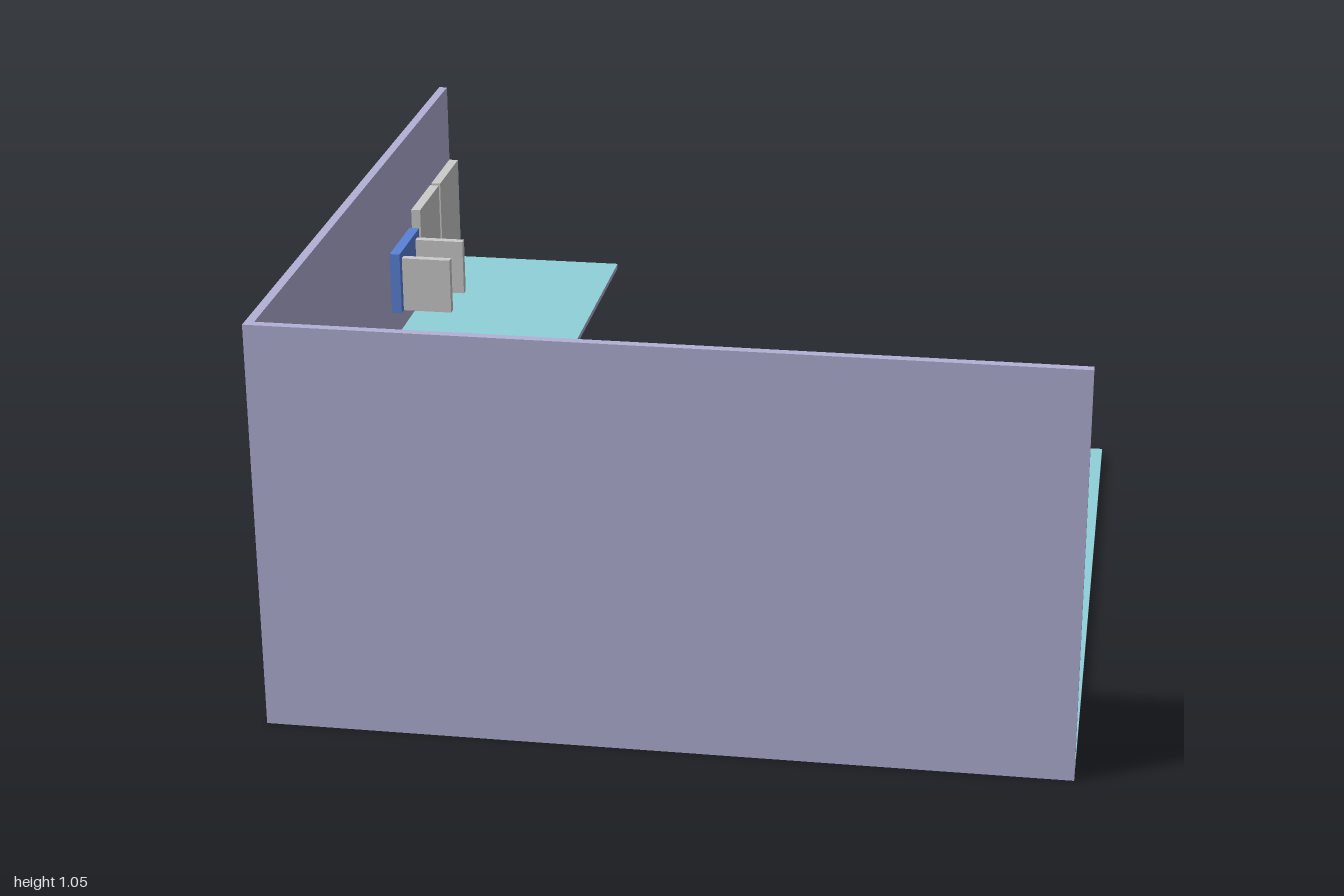
import * as THREE from 'three';

const paint = (color) => new THREE.MeshStandardMaterial({ color });
const lilac = paint(0xb2b1d6), teal = paint(0x90d0d9), grey = paint(0xcccccc);
const blue = paint(0x5b82d8), yellow = paint(0xd2e010), purple = paint(0x7d6cc8);

// Box given by its [min, max] extents on each axis
function slab(name, [x0, x1], [y0, y1], [z0, z1], material) {
  const mesh = new THREE.Mesh(new THREE.BoxGeometry(x1 - x0, y1 - y0, z1 - z0), material);
  mesh.position.set((x0 + x1) / 2, (y0 + y1) / 2, (z0 + z1) / 2);
  mesh.name = name;
  return mesh;
}

// Coloured back panel with two projecting side fins; faces +z, base at y = 0
function booth(name, material, height, finHeight) {
  const group = new THREE.Group();
  group.name = name;
  group.add(slab('backPanel', [-0.113, 0.113], [0, height], [0, 0.03], material));
  for (const side of [-1, 1]) {
    const x = side * 0.079;
    group.add(slab('sideFin', [x - 0.011, x + 0.011], [0, finHeight], [0.028, 0.165], grey));
  }
  return group;
}

export function createModel() {
  const model = new THREE.Group();
  model.name = 'room';

  // Slabs with a teal walking surface on top
  const decked = [lilac, lilac, teal, lilac, lilac, lilac];
  model.add(
    slab('floor', [-0.995, 0.995], [0, 0.02], [-1, 1], decked),
    slab('rearPlatform', [-0.972, -0.468], [0.516, 0.53], [-1, -0.265], decked),
    slab('frontPlatform', [-0.972, 0.042], [0.516, 0.53], [0.555, 0.977], decked),
  );

  // Two walls meeting at a corner
  model.add(
    slab('frontWall', [-0.995, 0.995], [0, 1.055], [0.977, 1], lilac),
    slab('sideWall', [-0.995, -0.972], [0, 1.055], [-1, 0.977], lilac),
  );

  // Doors
  model.add(
    slab('groundDoor', [0.65, 0.876], [0.02, 0.31], [0.946, 0.976], grey),
    slab('frontUpperDoor', [-0.913, -0.687], [0.55, 0.842], [0.938, 0.967], grey),
    slab('rearUpperDoor', [-0.974, -0.946], [0.55, 0.833], [-0.998, -0.77], grey),
    slab('rearUpperDoor', [-0.974, -0.946], [0.55, 0.833], [-0.752, -0.525], grey),
  );

  // Booths along the side wall, turned to face +x
  for (const [name, material, y, z, height, finHeight] of [
    ['upperBlueBooth', blue, 0.617, -0.383, 0.172, 0.153],
    ['lowerBlueBooth', blue, 0.03, -0.159, 0.173, 0.153],
    ['yellowBooth', yellow, 0.03, 0.458, 0.173, 0.153],
  ]) {
    const unit = booth(name, material, height, finHeight);
    unit.rotation.y = Math.PI / 2;
    unit.position.set(-0.974, y, z);
    model.add(unit);
  }

  // Booth on the front wall, facing into the room
  const unit = booth('purpleBooth', purple, 0.172, 0.15);
  unit.rotation.y = Math.PI;
  unit.position.set(-0.232, 0.55, 0.967);
  unit.scale.z = 0.93;
  model.add(unit);

  return model;
}
